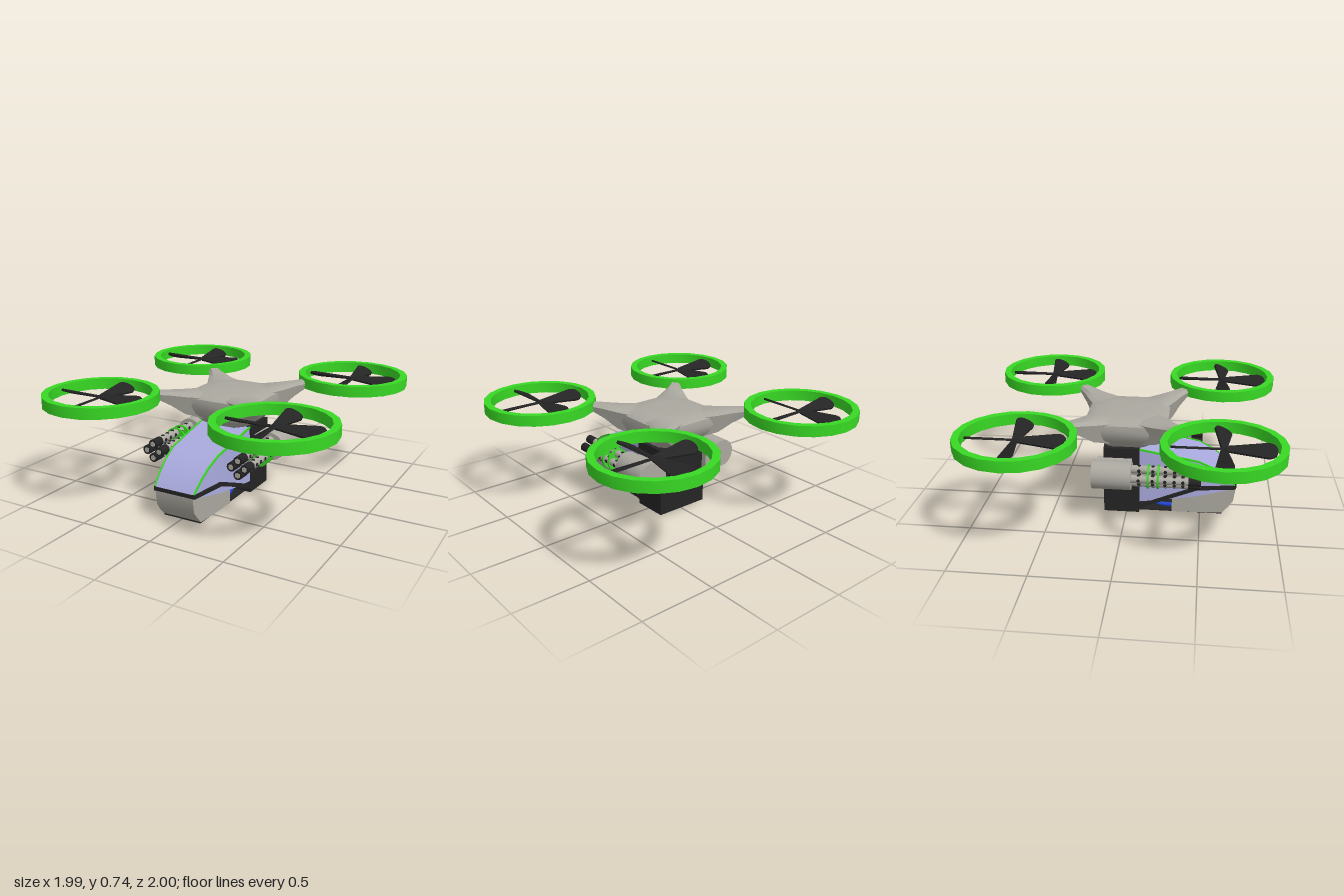
import * as THREE from 'three';
import { toCreasedNormals, mergeGeometries } from 'three/addons/utils/BufferGeometryUtils.js';

const material = (name, color) => Object.assign(new THREE.MeshStandardMaterial({ color }), { name });

// Closed skin through equal-sized cross-sections, always facing outward
function loft(rings, crease = 0.6) {
  const n = rings[0].length, pos = rings.flat(2), index = [];
  for (let r = 0; r < rings.length - 1; r++)
    for (let i = 0; i < n; i++) {
      const a = r * n + i, b = r * n + (i + 1) % n;
      index.push(a, b, b + n, a, b + n, a + n);
    }
  const last = (rings.length - 1) * n;
  for (let i = 1; i < n - 1; i++) index.push(0, i + 1, i, last, last + i, last + i + 1);
  const v = (i) => new THREE.Vector3().fromArray(pos, i * 3);
  let volume = 0;
  for (let i = 0; i < index.length; i += 3)
    volume += v(index[i]).dot(v(index[i + 1]).cross(v(index[i + 2])));
  if (volume < 0) index.reverse();
  const g = new THREE.BufferGeometry();
  g.setAttribute('position', new THREE.Float32BufferAttribute(pos, 3));
  g.setIndex(index);
  return toCreasedNormals(g, crease);
}

// Rectangular bar along points, w across x and h across y
const bar = (points, w, h) => loft(points.map(([x, y, z]) => [
  [x - w, y - h, z], [x + w, y - h, z], [x + w, y + h, z], [x - w, y + h, z]]));

const rod = (r, length, sides, x, y, z) =>
  toCreasedNormals(new THREE.CylinderGeometry(r, r, length, sides).rotateX(Math.PI / 2).translate(x, y, z), 0.8);

export function createModel() {
  const model = new THREE.Group();
  model.name = 'quadRotorAircraft';
  const grey = material('warmGrey', 0xaaa89f);
  const green = material('brightGreen', 0x38d824);
  const black = material('black', 0x242424);
  const glass = material('lilacGlass', 0xa8a8dc);
  const blue = material('blue', 0x2244d0);
  const add = (parent, name, geometry, mat) => {
    const mesh = new THREE.Mesh(geometry, mat);
    mesh.name = name;
    parent.add(mesh);
    return mesh;
  };

  // Upper hub: chamfered squares stacked upward
  const hubLevels = [[0.47, 0.14], [0.5, 0.19], [0.56, 0.25], [0.62, 0.275], [0.67, 0.27], [0.695, 0.22], [0.7, 0.12]];
  add(model, 'hub', loft(hubLevels.map(([y, h]) => {
    const c = h * 0.62;
    return [[h, y, -c], [h, y, c], [c, y, h], [-c, y, h], [-h, y, c], [-h, y, -c], [-c, y, -h], [c, y, -h]];
  })), grey);

  // Rotor parts
  const ring = toCreasedNormals(new THREE.LatheGeometry(
    [[0.376, -0.036], [0.376, 0.036], [0.33, 0.036], [0.33, -0.036], [0.376, -0.036]]
      .map(([x, y]) => new THREE.Vector2(x, y)), 20), 0.6);
  const outline = new THREE.Shape();
  outline.moveTo(0, -0.017);
  outline.lineTo(0.255, -0.058);
  outline.quadraticCurveTo(0.31, -0.055, 0.312, 0);
  outline.quadraticCurveTo(0.31, 0.055, 0.255, 0.058);
  outline.lineTo(0, 0.017);
  const blade = new THREE.ExtrudeGeometry(outline, { depth: 0.014, bevelEnabled: false, curveSegments: 5 })
    .translate(0, 0, -0.007).rotateX(-Math.PI / 2 + 0.42);

  // Tapered arm along +x, turned to each corner
  const arm = loft([[0.2, 0.13, 0.52, 0.695], [0.34, 0.085, 0.56, 0.703], [0.43, 0.055, 0.62, 0.712], [0.525, 0.035, 0.67, 0.72]]
    .map(([s, w, lo, hi]) => [[s, lo, -w * 0.7], [s, lo, w * 0.7], [s, hi - 0.02, w], [s, hi, w * 0.6], [s, hi, -w * 0.6], [s, hi - 0.02, -w]]));

  for (let k = 0; k < 4; k++) {
    add(model, 'rotorArm', arm, grey).rotation.y = Math.PI / 4 + k * Math.PI / 2;
    const rotor = new THREE.Group();
    rotor.name = 'rotor';
    rotor.position.set(k % 2 ? 0.617 : -0.617, 0.705, k < 2 ? 0.622 : -0.622);
    add(rotor, 'rotorRing', ring, green);
    for (let i = 0; i < 4; i++) add(rotor, 'rotorBlade', blade, black).rotation.y = i * Math.PI / 2;
    model.add(rotor);
  }

  // Rear module and belly plate
  add(model, 'rearModule', new THREE.BoxGeometry(0.38, 0.47, 0.24).translate(0, 0.245, -0.03), black);
  add(model, 'bellyPlate', new THREE.BoxGeometry(0.27, 0.01, 0.59).translate(0, 0.005, 0.355), black);

  // Canopy stations: z, top y, top half width, bottom y, bottom half width
  const canopy = [[0.09, 0.475, 0.18, 0.09, 0.185], [0.3, 0.435, 0.175, 0.12, 0.185], [0.48, 0.4, 0.168, 0.15, 0.183],
    [0.58, 0.352, 0.158, 0.17, 0.168], [0.66, 0.293, 0.15, 0.186, 0.155], [0.71, 0.243, 0.145, 0.195, 0.148],
    [0.735, 0.212, 0.14, 0.2, 0.142]];
  add(model, 'canopy', loft(canopy.map(([z, ty, tw, by, bw]) => [[-bw, by, z], [bw, by, z], [tw, ty, z], [-tw, ty, z]])), glass);

  // Lower nose stations: z, bottom y, top y, half width
  add(model, 'lowerNose', loft([[0.31, 0.01, 0.125, 0.155], [0.48, 0.01, 0.152, 0.15], [0.65, 0.01, 0.185, 0.14],
    [0.69, 0.055, 0.19, 0.138], [0.722, 0.1, 0.198, 0.136], [0.735, 0.195, 0.201, 0.136]]
    .map(([z, lo, hi, w]) => [[-w, lo, z], [w, lo, z], [w, hi, z], [-w, hi, z]])), grey);
  add(model, 'noseBand', new THREE.BoxGeometry(0.29, 0.022, 0.012).translate(0, 0.21, 0.732), black);

  for (const side of [-1, 1]) {
    // Canopy trim, side stripe and pipe
    add(model, 'canopyTrim', bar(canopy.map(([z, y, w]) => [side * w, y, z]), 0.005, 0.006), green);
    add(model, 'sideStripe', bar([[side * 0.185, 0.055, 0.09], [side * 0.187, 0.138, 0.29], [side * 0.184, 0.213, 0.48],
      [side * 0.158, 0.211, 0.64], [side * 0.141, 0.21, 0.735]], 0.007, 0.014), black);
    const path = new THREE.CatmullRomCurve3([[0.33, 0.035], [0.25, 0.035], [0.19, 0.055], [0.16, 0.11]]
      .map(([z, y]) => new THREE.Vector3(side * 0.1, y, z)));
    add(model, 'pipe', new THREE.TubeGeometry(path, 12, 0.014, 8), blue);

    // Side pod with four barrels
    const pod = new THREE.Group();
    pod.name = 'sidePod';
    pod.position.set(side * 0.315, 0.35, 0);
    model.add(pod);
    add(pod, 'podBody', rod(0.095, 0.255, 24, 0, 0, -0.0775), grey);
    add(pod, 'podMount', loft([[0.05, 0.065], [0.14, 0.085]].map(([x, h]) =>
      [[-side * x, -h, -0.19], [-side * x, -h, 0.04], [-side * x, h - 0.02, 0.04], [-side * x, h - 0.02, -0.19]])), grey);
    for (const z of [0.16, 0.225]) add(pod, 'barrelDisc', rod(0.08, 0.012, 24, 0, 0, z), green);
    const holes = [];
    for (let i = 0; i < 4; i++) {
      const x = 0.047 * Math.cos(i * Math.PI / 2), y = 0.047 * Math.sin(i * Math.PI / 2);
      add(pod, 'barrel', rod(0.027, 0.39, 12, x, y, 0.235), grey);
      add(pod, 'muzzle', rod(0.03, 0.08, 12, x, y, 0.46), black);
      add(pod, 'muzzleCore', rod(0.019, 0.004, 6, x, y, 0.5), grey);
      for (const z of [0.1, 0.19, 0.27, 0.33, 0.385])
        for (const turn of [0, Math.PI / 2])
          holes.push(new THREE.CylinderGeometry(0.012, 0.012, 0.057, 6).rotateZ(turn).translate(x, y, z));
    }
    add(pod, 'barrelHoles', mergeGeometries(holes), black);
  }
  return model;
}
